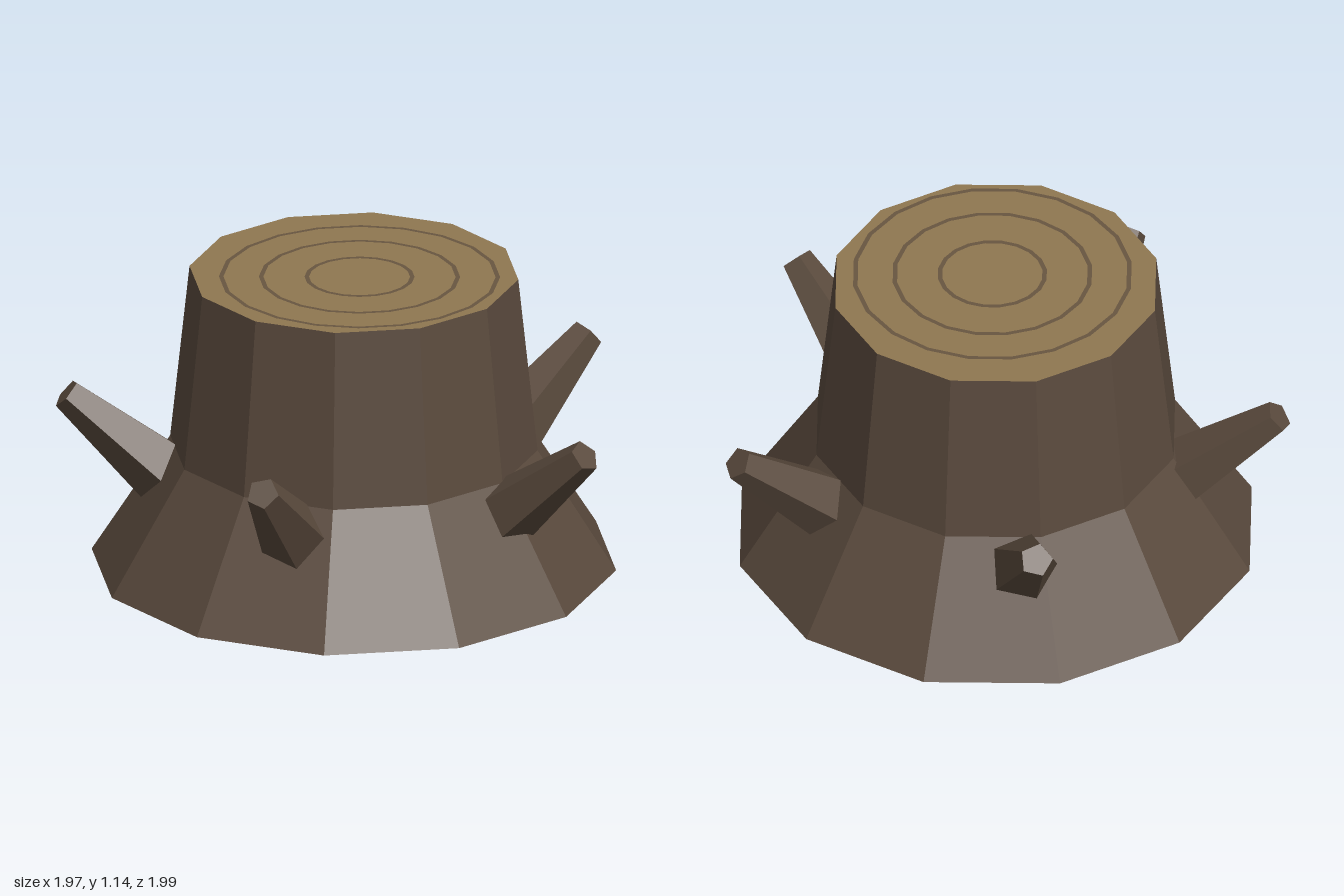
import * as THREE from 'three';

const material = (color) => new THREE.MeshStandardMaterial({ color, flatShading: true });

export function createModel() {
  const model = new THREE.Group();
  model.name = 'treeStump';
  const bark = material(0x5a4a3d);
  const wood = material(0x8f7751);
  const ringWood = material(0x685640);

  const add = (parent, name, geometry, mat) => {
    const mesh = new THREE.Mesh(geometry, mat);
    mesh.name = name;
    parent.add(mesh);
    return mesh;
  };

  // The stump stands slightly off the centre of the whole model
  const stump = new THREE.Group();
  stump.name = 'stump';
  stump.position.x = -0.06;
  model.add(stump);

  // Twelve-sided trunk with a flared foot and a closed underside
  const profile = [[0, 0.06], [0.925, 0.06], [0.648, 0.5], [0.58, 1.14]];
  add(stump, 'trunk', new THREE.LatheGeometry(profile.map(([r, y]) => new THREE.Vector2(r, y)), 12), bark);

  // Cut face
  const cut = add(stump, 'cutFace', new THREE.CircleGeometry(0.58, 12), wood);
  cut.rotation.x = -Math.PI / 2;
  cut.position.y = 1.14;

  // Growth rings, a little off the middle of the cut
  [0.185, 0.345, 0.485].forEach((radius, i) => {
    const ring = add(stump, `growthRing${i + 1}`, new THREE.RingGeometry(radius - 0.008, radius + 0.008, 20), ringWood);
    ring.rotation.x = -Math.PI / 2;
    ring.position.set(0.043, 1.143, 0.025);
  });

  // Five tapered branch stubs whose inner ends poke through the underside
  const inner = new THREE.Vector2(0.367, 0.137);
  const tip = new THREE.Vector2(1.008, 0.685);
  const axis = tip.clone().sub(inner);
  const stub = new THREE.CylinderGeometry(0.059, 0.18, axis.length(), 5, 1, false, Math.PI);
  stub.rotateZ(axis.angle() - Math.PI / 2);
  stub.translate((inner.x + tip.x) / 2, (inner.y + tip.y) / 2, 0);
  for (let i = 0; i < 5; i++) {
    add(stump, `branchStub${i + 1}`, stub, bark).rotation.y = (i * Math.PI * 2) / 5;
  }
  return model;
}
